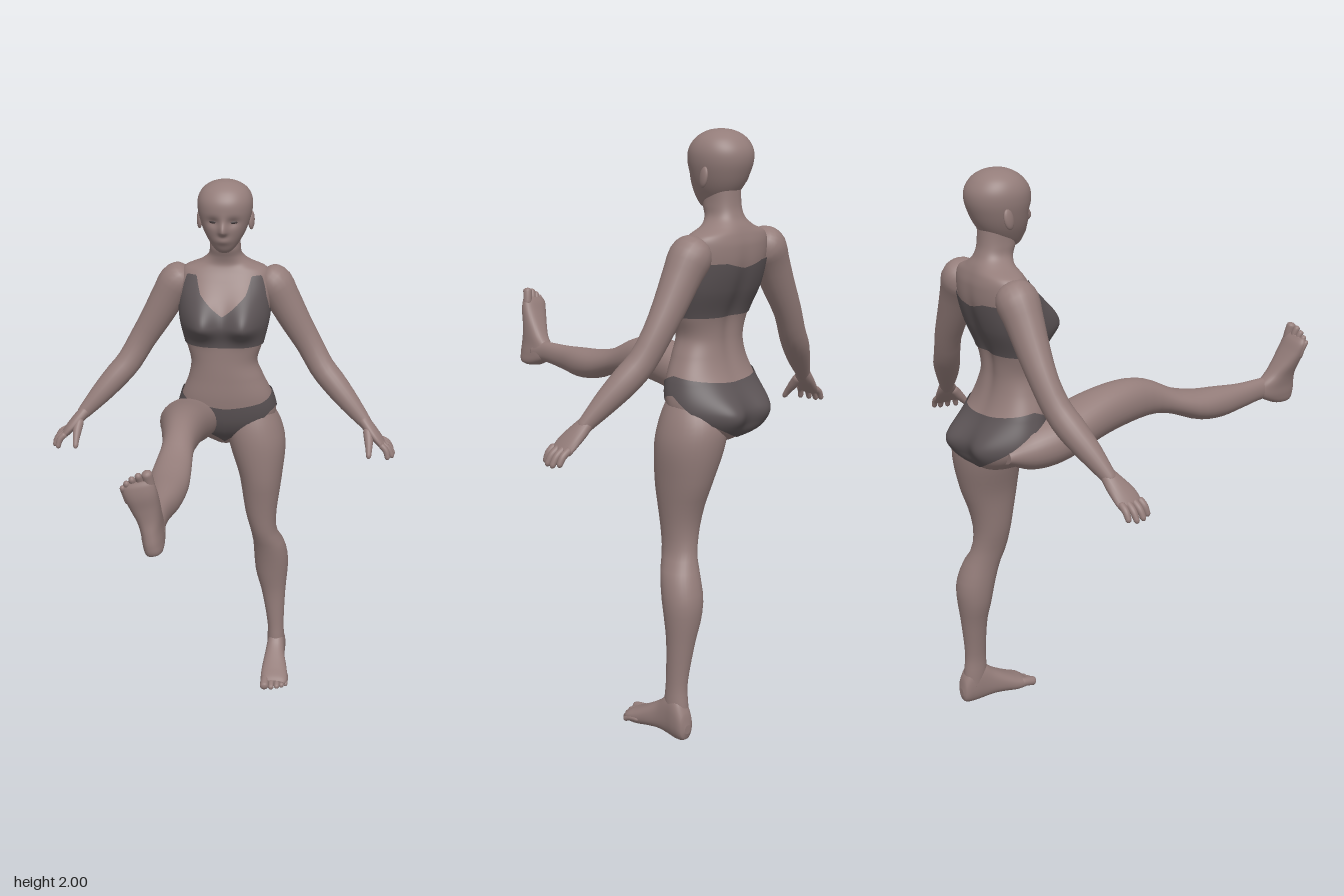
import * as THREE from 'three';

const skin = new THREE.MeshStandardMaterial({ color: 0x947d7a });
skin.name = 'skin';
const cloth = new THREE.MeshStandardMaterial({ color: 0x5b5355, side: THREE.DoubleSide });
cloth.name = 'cloth';
const dark = new THREE.MeshStandardMaterial({ color: 0x453c3d });
dark.name = 'eyeDark';

const V = (x, y, z) => new THREE.Vector3(x, y, z);
const bell = (d, s) => Math.exp(-(d * d) / (2 * s * s));
const pow = (c, p) => Math.sign(c) * Math.abs(c) ** p;

// Smooth interpolation of rows [s, a, b, ...] at position s
function sample(rows, s) {
  const n = rows.length - 1;
  let i = 0;
  while (i < n - 1 && s > rows[i + 1][0]) i++;
  const h = rows[i + 1][0] - rows[i][0];
  const t = Math.min(1, Math.max(0, (s - rows[i][0]) / h));
  const slope = (k, c) => {
    const a = rows[Math.max(0, k - 1)], b = rows[Math.min(n, k + 1)];
    return (b[c] - a[c]) / (b[0] - a[0]);
  };
  return rows[i].slice(1).map((p, k) => {
    const q = rows[i + 1][k + 1], t2 = t * t, t3 = t2 * t;
    return (2 * t3 - 3 * t2 + 1) * p + (t3 - 2 * t2 + t) * h * slope(i, k + 1)
      + (3 * t2 - 2 * t3) * q + (t3 - t2) * h * slope(i + 1, k + 1);
  });
}

// Skin over rings: at(angle, t) gives a point; faces are turned outward
function wrap(name, mat, nu, nv, at, closed = true) {
  const pts = [], index = [], c = V(0, 0, 0);
  for (let j = 0; j <= nv; j++)
    for (let i = 0; i < nu; i++) pts.push(at((i / nu) * Math.PI * 2, j / nv));
  for (let j = 0; j < nv; j++)
    for (let i = 0; i < nu; i++) {
      const a = j * nu + i, b = j * nu + ((i + 1) % nu);
      index.push(a, b, b + nu, a, b + nu, a + nu);
    }
  if (closed) for (const j of [0, nv]) {
    const mid = V(0, 0, 0);
    for (let i = 0; i < nu; i++) mid.addScaledVector(pts[j * nu + i], 1 / nu);
    const m = pts.push(mid) - 1;
    for (let i = 0; i < nu; i++) {
      const a = j * nu + i, b = j * nu + ((i + 1) % nu);
      if (j) index.push(a, b, m); else index.push(b, a, m);
    }
  }
  pts.forEach((p) => c.addScaledVector(p, 1 / pts.length));
  let vol = 0;
  for (let k = 0; k < index.length; k += 3) {
    const [p, q, r] = [0, 1, 2].map((o) => pts[index[k + o]].clone().sub(c));
    vol += p.dot(q.cross(r));
  }
  if (vol < 0) index.reverse();
  const g = new THREE.BufferGeometry().setFromPoints(pts);
  g.setIndex(index);
  g.computeVertexNormals();
  const mesh = new THREE.Mesh(g, mat);
  mesh.name = name;
  return mesh;
}

// Body surface from rows [s, u0, u1, v0, v1]
const section = (rows, p, place) => (a, s) => {
  const [u0, u1, v0, v1] = sample(rows, s);
  return place((u0 + u1) / 2 + ((u1 - u0) / 2) * pow(Math.sin(a), p), (v0 + v1) / 2 + ((v1 - v0) / 2) * pow(Math.cos(a), p), s, a);
};
const ease = (rows, t) => THREE.MathUtils.lerp(rows[0][0], rows[rows.length - 1][0], (1 - Math.cos(Math.PI * t)) / 2);
const solid = (name, rows, p, place, nu = 32, nv = 48) => {
  const f = section(rows, p, place);
  return wrap(name, skin, nu, nv, (a, t) => f(a, ease(rows, t)));
};

// Round-ended limb through points [x, y, z, radiusAlongRef, radiusAcross]
function limb(name, pts, ref, cap = 0.12, nu = 20, nv = 30) {
  const path = new THREE.CatmullRomCurve3(pts.map((p) => V(p[0], p[1], p[2])), false, 'catmullrom');
  const radii = new THREE.CatmullRomCurve3(pts.map((p) => V(p[3], p[4] ?? p[3], 0)), false, 'catmullrom');
  return wrap(name, skin, nu, nv, (a, t0) => {
    const t = (1 - Math.cos(Math.PI * t0)) / 2;
    const d = path.getTangent(t), r = radii.getPoint(t);
    const A = ref.clone().addScaledVector(d, -ref.dot(d)).normalize(), B = d.clone().cross(A);
    const e = Math.min(1, Math.min(t, 1 - t) / cap), k = Math.sqrt(Math.max(0, 1 - (1 - e) ** 2));
    return path.getPoint(t).addScaledVector(A, r.x * k * Math.cos(a)).addScaledVector(B, r.y * k * Math.sin(a));
  });
}

// Trunk rows: y, right, left, back, front
const trunkRows = [
  [1.0, -0.03, 0.04, -0.55, -0.46], [1.03, -0.1, 0.11, -0.595, -0.435], [1.07, -0.155, 0.17, -0.6, -0.405],
  [1.12, -0.175, 0.195, -0.6, -0.385], [1.2, -0.158, 0.183, -0.575, -0.373], [1.28, -0.13, 0.147, -0.552, -0.372],
  [1.34, -0.122, 0.125, -0.545, -0.373], [1.41, -0.14, 0.143, -0.553, -0.375], [1.5, -0.163, 0.163, -0.588, -0.385],
  [1.58, -0.167, 0.167, -0.608, -0.402], [1.64, -0.165, 0.165, -0.61, -0.432], [1.675, -0.15, 0.15, -0.602, -0.452],
  [1.698, -0.095, 0.095, -0.592, -0.46], [1.725, -0.063, 0.063, -0.576, -0.455], [1.76, -0.056, 0.056, -0.565, -0.443],
  [1.83, -0.055, 0.055, -0.56, -0.45]];
const trunk = section(trunkRows, 0.87, (x, z, y, a) => {
  const f = Math.max(0, Math.cos(a)) ** 0.5, b = Math.max(0, -Math.cos(a)) ** 0.5;
  for (const s of [-1, 1]) {
    z += f * 0.07 * bell(x - s * 0.08, 0.046) * bell(y - 1.493, y < 1.493 ? 0.036 : 0.06);
    z -= b * (s > 0 ? 0.07 : 0.055) * bell(x - s * 0.088, 0.055) * bell(y - 1.1, 0.055);
  }
  z += b * 0.012 * bell(x, 0.022) * bell(y - 1.42, 0.12);
  return V(x, y, z);
});

// Garment over the trunk, edges given as [degrees from front, y]
function garment(name, low, high) {
  const edge = (rows, d) => {
    const i = Math.max(1, rows.findIndex((r) => r[0] >= d)), [p, q] = [rows[i - 1], rows[i]];
    return THREE.MathUtils.lerp(p[1], q[1], (d - p[0]) / (q[0] - p[0]));
  };
  return wrap(name, cloth, 144, 50, (a, t) => {
    const deg = THREE.MathUtils.radToDeg(a), d = Math.min(deg, 360 - deg);
    const p = trunk(a, THREE.MathUtils.lerp(edge(low, d), edge(high, d), t));
    const out = V(p.x, 0, p.z + 0.49).normalize();
    return p.addScaledVector(out, 0.005);
  }, false);
}

function head() {
  const g = new THREE.Group();
  g.name = 'head';
  const rows = [
    [1.748, -0.02, 0.02, -0.48, -0.435], [1.76, -0.036, 0.036, -0.51, -0.42], [1.785, -0.055, 0.055, -0.54, -0.408],
    [1.82, -0.075, 0.075, -0.568, -0.398], [1.86, -0.09, 0.09, -0.588, -0.392], [1.9, -0.099, 0.099, -0.6, -0.387],
    [1.935, -0.098, 0.098, -0.598, -0.391], [1.965, -0.084, 0.084, -0.58, -0.41], [1.985, -0.06, 0.06, -0.555, -0.435],
    [1.996, -0.032, 0.032, -0.527, -0.462], [2.0, -0.004, 0.004, -0.5, -0.49]];
  const face = (x, z, y, a) => {
    const f = Math.max(0, Math.cos(a)) ** 0.5;
    z += f * 0.024 * bell(x, 0.01) * bell(y - 1.833, y > 1.833 ? 0.024 : 0.009);
    z += f * 0.007 * bell(x, 0.02) * bell(y - 1.797, 0.01);
    for (const s of [-1, 1]) z -= f * 0.011 * bell(x - s * 0.036, 0.016) * bell(y - 1.866, 0.012);
    return V(x, y, z);
  };
  g.add(solid('skull', rows, 0.95, face, 120, 90));
  const ball = new THREE.SphereGeometry(1, 20, 14);
  for (const s of [-1, 1]) {
    const ear = new THREE.Mesh(ball, skin);
    ear.name = 'ear';
    ear.scale.set(0.01, 0.034, 0.02);
    ear.position.set(s * 0.094, 1.853, -0.508);
    ear.rotation.set(-0.2, -s * 0.3, 0);
    const eye = new THREE.Mesh(ball, dark);
    eye.name = 'eye';
    eye.scale.set(0.014, 0.005, 0.004);
    eye.position.copy(section(rows, 0.95, face)(s * 0.4, 1.866));
    eye.rotation.y = s * 0.3;
    g.add(ear, eye);
  }
  return g;
}

function arm(s) {
  const g = new THREE.Group();
  g.name = s > 0 ? 'leftArm' : 'rightArm';
  const Z = V(0, 0, 1);
  const part = (name, pts, cap) => g.add(limb(name, pts.map(([x, ...r]) => [x * s, ...r]), Z, cap));
  part('armLength', [[0.13, 1.655, -0.54, 0.05, 0.04], [0.175, 1.618, -0.535, 0.07, 0.068], [0.212, 1.56, -0.532, 0.062, 0.064],
    [0.26, 1.475, -0.53, 0.053, 0.057], [0.315, 1.385, -0.525, 0.045, 0.05], [0.362, 1.305, -0.508, 0.045, 0.048],
    [0.41, 1.25, -0.487, 0.047, 0.047], [0.465, 1.19, -0.46, 0.039, 0.04], [0.525, 1.125, -0.433, 0.025, 0.027],
    [0.545, 1.103, -0.424, 0.024, 0.02]], 0.06);
  part('palm', [[0.515, 1.137, -0.437, 0.022, 0.022], [0.548, 1.1, -0.421, 0.036, 0.022], [0.58, 1.066, -0.405, 0.045, 0.018],
    [0.608, 1.035, -0.396, 0.042, 0.013]], 0.12);
  [[0.64, 1.005, -0.43], [0.645, 0.998, -0.402], [0.64, 0.998, -0.374], [0.622, 1.0, -0.347]].forEach(([x, y, z], i) => {
    const k = [0.592, 1.055, -0.432 + i * 0.023];
    part('finger', [[...k, 0.012], [(k[0] + x) / 2 + 0.006, (k[1] + y) / 2 + 0.006, (k[2] + z) / 2, 0.0115], [x, y, z, 0.009]], 0.15);
  });
  part('thumb', [[0.54, 1.105, -0.405, 0.016], [0.548, 1.07, -0.375, 0.017], [0.55, 1.038, -0.347, 0.012], [0.55, 1.01, -0.327, 0.009]], 0.14);
  return g;
}

// Foot about its heel, sole on y = 0, toes toward +z; s = 1 is the left foot
function foot(s) {
  const g = new THREE.Group();
  g.name = s > 0 ? 'leftFoot' : 'rightFoot';
  const rows = [
    [0, -0.012, 0.015, 0.03, 0.06], [0.008, -0.026, 0.03, 0.008, 0.1], [0.04, -0.034, 0.036, 0, 0.155],
    [0.08, -0.038, 0.034, 0.003, 0.155], [0.12, -0.044, 0.036, 0.008, 0.118], [0.165, -0.05, 0.045, 0.006, 0.088],
    [0.21, -0.054, 0.052, 0, 0.063], [0.245, -0.052, 0.052, 0.002, 0.046], [0.262, -0.045, 0.042, 0.008, 0.034]];
  g.add(solid('footBody', rows, 0.85, (x, y, z) => V(x * s, y, z)));
  [[-0.037, 0.292, 0.017], [-0.01, 0.29, 0.0115], [0.012, 0.282, 0.011], [0.031, 0.271, 0.0105], [0.046, 0.258, 0.0095]].forEach(([x, z, r]) =>
    g.add(limb('toe', [[x * s * 0.95, 0.03, z - 0.07, r], [x * s, 0.024, z - 0.03, r], [x * s, r, z, r]], V(1, 0, 0), 0.18, 14, 14)));
  return g;
}

export function createModel() {
  const model = new THREE.Group();
  model.name = 'figure';
  model.add(wrap('trunk', skin, 144, 180, (a, t) => trunk(a, THREE.MathUtils.lerp(1.0, 1.83, t))));
  model.add(garment('topGarment', [[0, 1.41], [180, 1.41]],
    [[0, 1.53], [25, 1.6], [33, 1.66], [52, 1.66], [62, 1.59], [75, 1.54], [100, 1.53], [130, 1.59], [155, 1.59], [180, 1.57]]));
  model.add(garment('briefs', [[0, 1.012], [15, 1.05], [30, 1.1], [60, 1.15], [90, 1.165], [120, 1.1], [150, 1.04], [180, 1.012]],
    [[0, 1.17], [45, 1.19], [90, 1.225], [180, 1.2]]));
  model.add(head(), arm(1), arm(-1));

  // Standing leg rows: y, inner x, outer x, back, front
  model.add(solid('leftLeg', [
    [0.07, 0.18, 0.246, -0.575, -0.495], [0.12, 0.178, 0.246, -0.572, -0.485], [0.19, 0.177, 0.242, -0.565, -0.488],
    [0.34, 0.15, 0.246, -0.58, -0.485], [0.42, 0.128, 0.252, -0.592, -0.472], [0.49, 0.12, 0.254, -0.595, -0.458],
    [0.57, 0.116, 0.238, -0.572, -0.438], [0.63, 0.107, 0.208, -0.547, -0.42], [0.71, 0.087, 0.206, -0.541, -0.407],
    [0.79, 0.074, 0.215, -0.557, -0.394], [0.87, 0.06, 0.225, -0.585, -0.381], [1.0, 0.02, 0.235, -0.614, -0.376],
    [1.08, 0.012, 0.218, -0.61, -0.385], [1.16, 0.04, 0.18, -0.56, -0.41]], 0.95, (x, z, y) => V(x, y, z)));
  const lf = foot(1);
  lf.position.set(0.215, 0, -0.587);
  model.add(lf);

  // Raised leg rows: z, outer x, inner x, bottom, top
  model.add(solid('rightLeg', [
    [-0.57, -0.17, -0.05, 1.06, 1.12], [-0.48, -0.215, -0.015, 1.025, 1.175], [-0.37, -0.23, -0.022, 1.035, 1.205],
    [-0.2, -0.206, -0.04, 1.085, 1.248], [-0.08, -0.188, -0.053, 1.107, 1.258], [0, -0.176, -0.062, 1.115, 1.243],
    [0.05, -0.177, -0.064, 1.113, 1.22], [0.1, -0.187, -0.062, 1.1, 1.193], [0.2, -0.2, -0.062, 1.062, 1.168],
    [0.3, -0.19, -0.076, 1.05, 1.16], [0.4, -0.173, -0.098, 1.062, 1.153], [0.5, -0.16, -0.104, 1.075, 1.153],
    [0.56, -0.16, -0.1, 1.07, 1.15]], 0.95, (x, y, z) => V(x, y, z)));
  const rf = foot(-1);
  rf.rotation.set(-Math.PI / 2, 0, 0);
  const tilt = new THREE.Group();
  tilt.name = 'raisedFoot';
  tilt.add(rf);
  tilt.rotation.z = 0.2;
  tilt.position.set(-0.125, 1.052, 0.645);
  model.add(tilt);
  return model;
}
